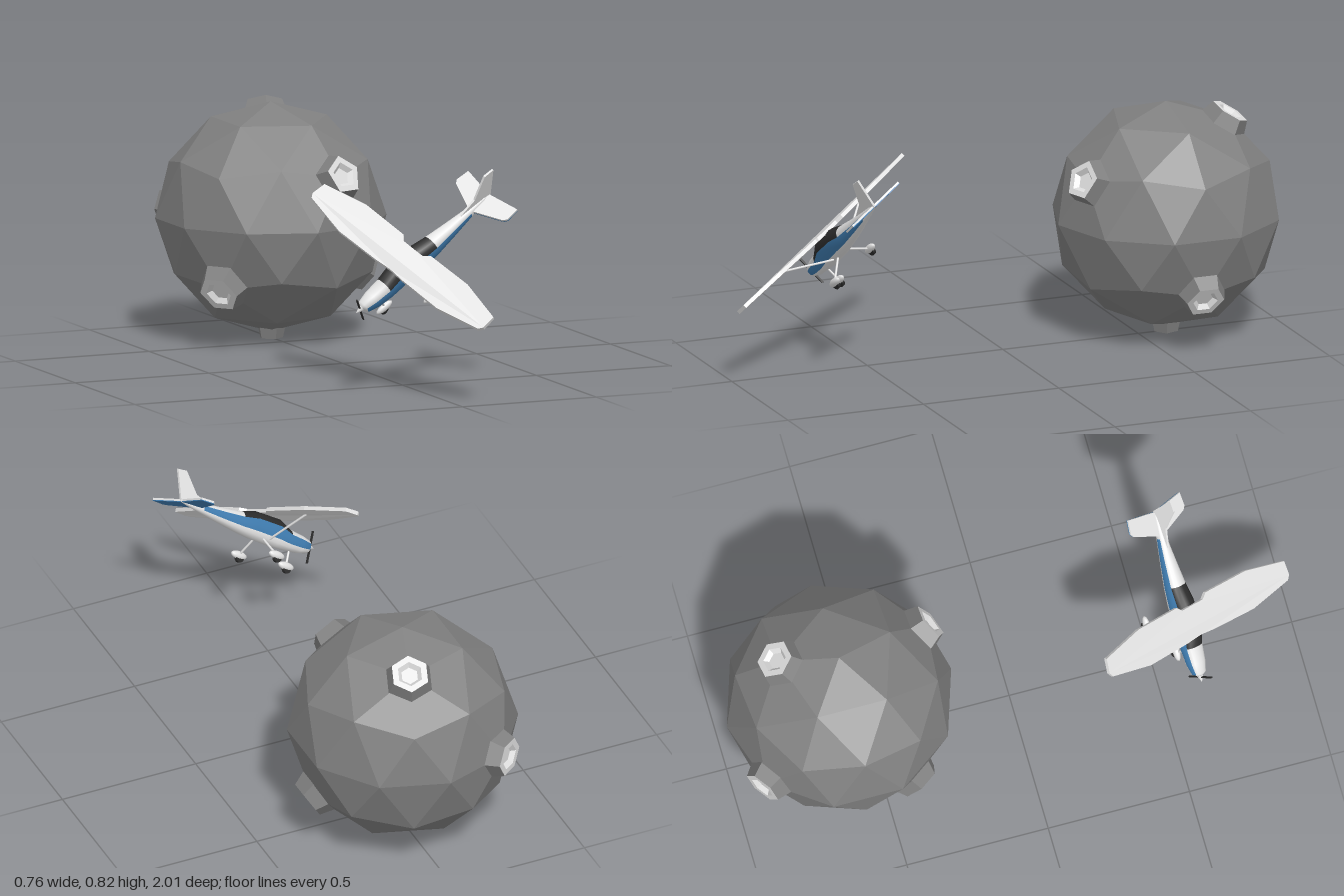
import * as THREE from 'three';

const mat = (name, color, extra = {}) => {
  const m = new THREE.MeshStandardMaterial({ color, ...extra });
  m.name = name;
  return m;
};

const R = 0.397; // moon radius
const DEG = Math.PI / 180;

// unit vector from azimuth (0 = +z, 90 = +x) and latitude
const direction = (az, lat) => new THREE.Vector3(
  Math.sin(az * DEG) * Math.cos(lat * DEG), Math.sin(lat * DEG), Math.cos(az * DEG) * Math.cos(lat * DEG));

function faceted(geometry) {
  const g = geometry.index ? geometry.toNonIndexed() : geometry;
  g.computeVertexNormals();
  return g;
}

function named(name, geometry, material) {
  const m = new THREE.Mesh(geometry, material);
  m.name = name;
  return m;
}

// Faceted sphere: icosahedron standing on a corner, split once
function moonGeometry() {
  const ringLat = Math.atan(0.5) / DEG;
  const v = [0, 1, 0];
  for (let k = 0; k < 5; k++) v.push(...direction(18 + 72 * k, ringLat).toArray());
  for (let k = 0; k < 5; k++) v.push(...direction(54 + 72 * k, -ringLat).toArray());
  v.push(0, -1, 0);
  const f = [];
  for (let k = 0; k < 5; k++) {
    const n = (k + 1) % 5, a = 1 + k, b = 1 + n, c = 6 + k, d = 6 + n;
    f.push(0, a, b, a, c, b, b, c, d, c, 11, d);
  }
  return faceted(new THREE.PolyhedronGeometry(v, f, R, 1));
}

// Raised crater: sloped outer wall, pale lip, inner wall and floor
function crater(az, lat, sides, size, turn, materials) {
  const g = new THREE.Group();
  g.name = 'crater';
  const lathe = pts => faceted(new THREE.LatheGeometry(pts.map(p => new THREE.Vector2(p[0] * size, p[1])), sides));
  const lip = R + 0.022;
  g.add(named('craterWall', lathe([[1.35, R - 0.045], [1, lip]]), materials.rock));
  g.add(named('craterBowl', lathe([[1, lip], [0.66, lip], [0.45, R + 0.006], [0, R + 0.006]]), materials.pale));
  const y = direction(az, lat);
  const z = direction(az, lat + 90);
  const x = new THREE.Vector3().crossVectors(y, z);
  g.quaternion.setFromRotationMatrix(new THREE.Matrix4().makeBasis(x, y, z));
  g.rotateY(turn * DEG);
  return g;
}

// Lofted body with groups: 0 white, 1 side stripe, 2 windows
function fuselageGeometry() {
  // z, half width, top, bottom
  const sections = [
    [0.3, 0.008, 0.006, -0.012], [0.29, 0.024, 0.018, -0.028], [0.25, 0.033, 0.026, -0.038],
    [0.19, 0.038, 0.032, -0.043], [0.135, 0.04, 0.054, -0.046], [0.03, 0.04, 0.054, -0.044],
    [-0.035, 0.035, 0.038, -0.038], [-0.12, 0.026, 0.028, -0.028], [-0.21, 0.016, 0.02, -0.016],
    [-0.28, 0.009, 0.015, -0.006], [-0.31, 0.003, 0.008, 0],
  ];
  const N = 16, pos = [], faces = [[], [], []];
  for (const [z, w, top, bottom] of sections) {
    const cy = (top + bottom) / 2, h = (top - bottom) / 2;
    for (let j = 0; j < N; j++) {
      const a = j / N * Math.PI * 2, c = Math.cos(a), s = Math.sin(a);
      pos.push(w * Math.sign(c) * Math.abs(c) ** 0.85, cy + h * Math.sign(s) * Math.abs(s) ** 0.85, z);
    }
  }
  for (let i = 0; i < sections.length - 1; i++) {
    for (let j = 0; j < N; j++) {
      const stripe = [15, 0, 7, 8].includes(j) && i >= 1 && i <= 7;
      const glass = j >= 1 && j <= 6 && i >= 3 && i <= 5;
      const a = i * N + j, b = i * N + (j + 1) % N;
      faces[glass ? 2 : stripe ? 1 : 0].push(a, a + N, b, b, a + N, b + N);
    }
  }
  const g = new THREE.BufferGeometry();
  g.setAttribute('position', new THREE.Float32BufferAttribute(pos, 3));
  g.setIndex(faces.flat());
  let start = 0;
  faces.forEach((f, k) => { g.addGroup(start, f.length, k); start += f.length; });
  g.computeVertexNormals();
  return g;
}

const extrude = (points, thickness) => {
  const shape = new THREE.Shape(points.map(p => new THREE.Vector2(p[0], p[1])));
  return new THREE.ExtrudeGeometry(shape, { depth: thickness, bevelEnabled: false }).translate(0, 0, -thickness / 2);
};
// Horizontal plate from half an outline of [x, z], mirrored across x = 0
const plate = (half, thickness) =>
  extrude([...half, ...half.map(p => [-p[0], p[1]]).reverse()], thickness).rotateX(Math.PI / 2);

function rod(name, from, to, radius, material) {
  const a = new THREE.Vector3(...from), b = new THREE.Vector3(...to);
  const m = named(name, new THREE.CylinderGeometry(radius, radius, a.distanceTo(b), 8), material);
  m.position.copy(a).lerp(b, 0.5);
  m.quaternion.setFromUnitVectors(new THREE.Vector3(0, 1, 0), b.sub(a).normalize());
  return m;
}

function landingGear(name, foot, top, M) {
  const g = new THREE.Group();
  g.name = name;
  g.add(rod('gearLeg', top, foot, 0.004, M.white));
  const spat = named('wheelFairing', new THREE.SphereGeometry(1, 12, 8).scale(0.012, 0.014, 0.036), M.white);
  const wheel = named('wheel', new THREE.CylinderGeometry(0.017, 0.017, 0.012, 14).rotateZ(Math.PI / 2), M.dark);
  spat.position.set(...foot);
  wheel.position.set(foot[0], foot[1] - 0.008, foot[2] + 0.004);
  g.add(spat, wheel);
  return g;
}

// Airplane in its own frame: nose +z, up +y, left wing +x
function airplane(M) {
  const g = new THREE.Group();
  g.name = 'airplane';
  g.add(named('fuselage', fuselageGeometry(), [M.white, M.blue, M.dark]));

  const wing = plate([[0, 0.06], [0.07, 0.065], [0.25, 0.068], [0.425, 0.036], [0.437, 0.02],
    [0.432, -0.032], [0.26, -0.068], [0.07, -0.068], [0.05, -0.05], [0, -0.05]].reverse(), 0.013);
  const p = wing.attributes.position; // slight dihedral
  for (let i = 0; i < p.count; i++) p.setY(i, p.getY(i) + Math.abs(p.getX(i)) * 0.02);
  wing.computeVertexNormals();
  const wingMesh = named('wing', wing, M.white);
  wingMesh.position.set(0, 0.056, 0.087);
  g.add(wingMesh);

  // Tailplane with a coloured underside
  const tail = [[0.125, -0.325], [0.13, -0.275], [0.12, -0.262], [0, -0.215]];
  const tailOutline = [[0, -0.305], ...tail];
  const tailTop = named('tailplane', plate(tailOutline, 0.007), M.white);
  tailTop.position.y = 0.006;
  const tailUnder = named('tailplaneUnderside', plate(tailOutline, 0.003), M.blue);
  tailUnder.position.y = 0.001;
  g.add(tailTop, tailUnder);

  // Swept fin
  g.add(named('fin', extrude([[-0.31, 0.004], [-0.35, 0.105], [-0.31, 0.108], [-0.245, 0.04],
    [-0.17, 0.022], [-0.2, 0.008]].reverse(), 0.008).rotateY(-Math.PI / 2), M.white));

  // Struts and main gear on both sides
  for (const s of [1, -1]) {
    g.add(rod('wingStrut', [s * 0.032, -0.03, 0.09], [s * 0.2, 0.055, 0.085], 0.004, M.white));
    g.add(landingGear('mainGear', [s * 0.096, -0.088, 0.08], [s * 0.025, -0.035, 0.07], M));
  }
  g.add(landingGear('noseGear', [0, -0.092, 0.215], [0, -0.035, 0.215], M));

  // Propeller
  const spinner = named('spinner', new THREE.ConeGeometry(0.012, 0.026, 12).rotateX(Math.PI / 2), M.white);
  spinner.position.set(0, -0.003, 0.312);
  const blades = named('propeller', new THREE.BoxGeometry(0.008, 0.114, 0.004), M.dark);
  blades.position.set(0, -0.003, 0.306);
  g.add(spinner, blades);

  // Banked, diving attitude
  const f = new THREE.Vector3(-0.81, -0.58, 0.05).normalize();
  const l = new THREE.Vector3(0.356, -0.437, 0.828);
  const u = new THREE.Vector3().crossVectors(f, l).normalize();
  l.crossVectors(u, f);
  g.quaternion.setFromRotationMatrix(new THREE.Matrix4().makeBasis(l, u, f));
  g.position.set(0.035, 0.475, 0.605);
  return g;
}

export function createModel() {
  const M = {
    rock: mat('rock grey', 0x808080, { side: THREE.DoubleSide }),
    pale: mat('pale crater', 0xdedede, { side: THREE.DoubleSide }),
    white: mat('airplane white', 0xe4e4e4),
    blue: mat('stripe blue', 0x3f7cb0),
    dark: mat('window black', 0x2c2c2c),
  };
  const model = new THREE.Group();
  model.name = 'airplaneAndMoon';

  const moon = new THREE.Group();
  moon.name = 'moon';
  moon.position.set(0, 0.421, -0.602);
  moon.add(named('moonBody', moonGeometry(), M.rock));
  // azimuth, latitude, sides, lip radius, turn
  const craters = [
    [18, 26.57, 5, 0.07, 0], [90, -31.72, 6, 0.068, 30], [-54, -31.72, 6, 0.072, 30],
    [162, 58.28, 6, 0.068, 0], [-144, 0, 6, 0.068, 30], [0, -90, 5, 0.042, 0],
  ];
  for (const c of craters) moon.add(crater(...c, M));

  model.add(moon, airplane(M));
  return model;
}
